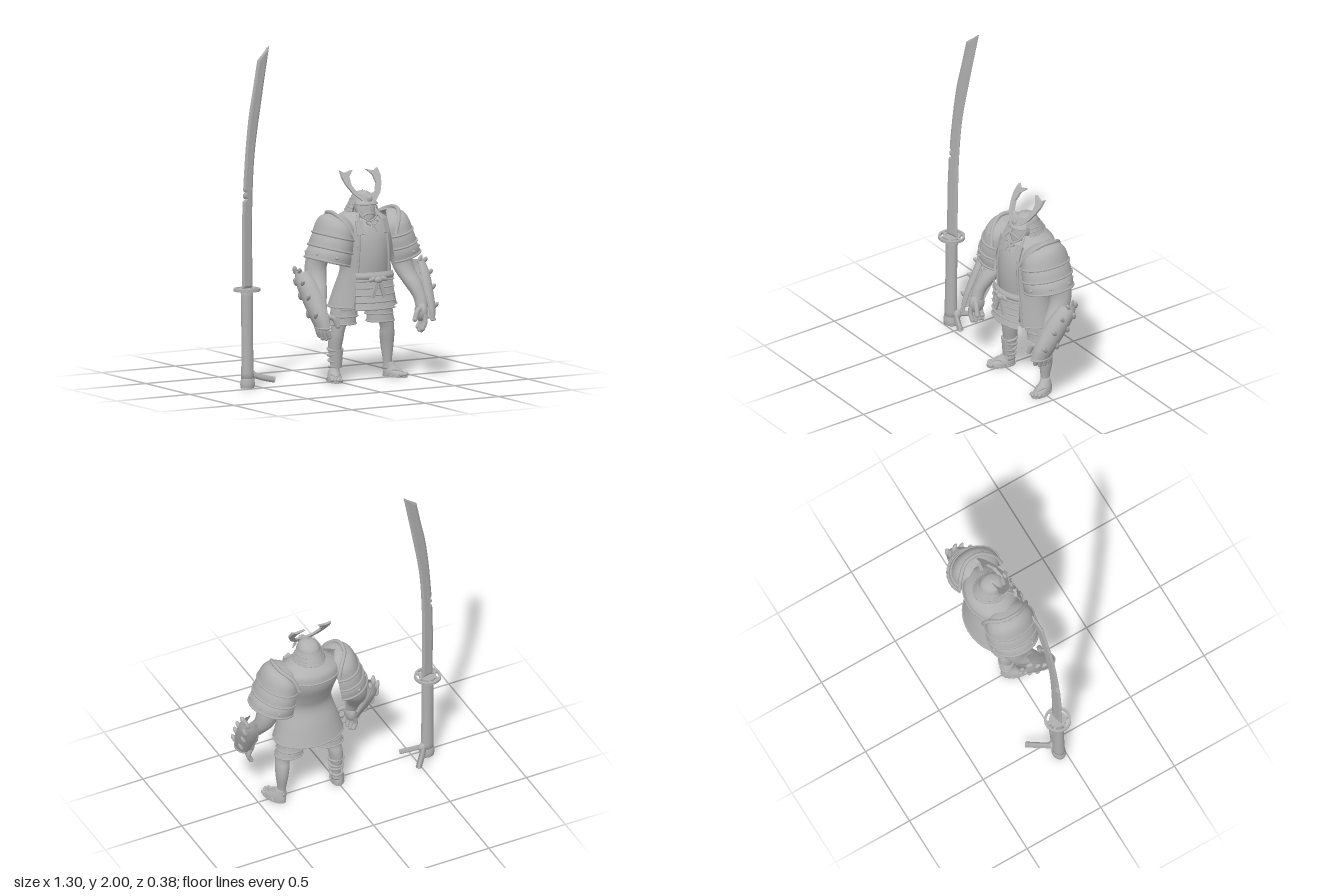
import * as THREE from 'three';
import { mergeVertices } from 'three/addons/utils/BufferGeometryUtils.js';

const grey = new THREE.MeshStandardMaterial({ color: 0xb0b0b0, side: THREE.DoubleSide });
grey.name = 'clay grey';
const TAU = Math.PI * 2, rad = (d) => d * Math.PI / 180;
const V = (p) => new THREE.Vector3(...p);
const V2 = (p) => new THREE.Vector2(...p);

function add(parent, name, geo, pos = [0, 0, 0], rot = [0, 0, 0], scale = [1, 1, 1]) {
  const m = new THREE.Mesh(geo, grey);
  m.name = name;
  m.position.set(...pos); m.rotation.set(...rot); m.scale.set(...scale);
  parent.add(m);
  return m;
}
function group(parent, name) {
  const g = new THREE.Group();
  g.name = name;
  parent.add(g);
  return g;
}
const ball = (parent, name, pos, scale, rot) =>
  add(parent, name, new THREE.SphereGeometry(1, 18, 12), pos, rot, scale);
const tube = (parent, name, pts, r, sides = 8) =>
  add(parent, name, new THREE.TubeGeometry(new THREE.CatmullRomCurve3(pts.map(V)), pts.length * 6, r, sides));

// Point on a horizontal ellipse row [x, y, z, rx, rz]; angle 0 faces +z
const onRow = (r, a) => [r[0] + Math.sin(a) * r[3], r[1], r[2] + Math.cos(a) * r[4]];

// Smooth skin through elliptical rows, listed bottom to top; row[5] narrows the arc
function loft(rows, { a0 = 0, a1 = TAU, n = 32, cap = false } = {}) {
  const m = rows.length * 4;
  const c = new THREE.CatmullRomCurve3(rows.map((r) => V(r.slice(0, 3))), false, 'catmullrom');
  const e = new THREE.CatmullRomCurve3(rows.map((r) => V([r[3], r[4], r[5] || 0])), false, 'catmullrom');
  const pos = [], idx = [];
  for (let i = 0; i <= m; i++) {
    const p = c.getPoint(i / m), q = e.getPoint(i / m);
    for (let j = 0; j <= n; j++)
      pos.push(...onRow([p.x, p.y, p.z, q.x, q.y], a0 + q.z + (a1 - a0 - 2 * q.z) * j / n));
  }
  const w = n + 1;
  for (let i = 0; i < m; i++) for (let j = 0; j < n; j++) {
    const k = i * w + j;
    idx.push(k, k + 1, k + w + 1, k, k + w + 1, k + w);
  }
  if (cap) {
    const b = pos.length / 3, top = m * w;
    pos.push(...rows[0].slice(0, 3), ...rows[rows.length - 1].slice(0, 3));
    for (let j = 0; j < n; j++) idx.push(b, j + 1, j, b + 1, top + j, top + j + 1);
  }
  let g = new THREE.BufferGeometry();
  g.setAttribute('position', new THREE.Float32BufferAttribute(pos, 3));
  g.setIndex(idx);
  g = mergeVertices(g, 1e-5);
  g.computeVertexNormals();
  return g;
}

// Armour plate: a curved shell with a raised lower rim
function lame(parent, name, rows, a0, a1, rim = 0.007) {
  add(parent, name, loft(rows, { a0, a1 }));
  const pts = [];
  for (let i = 0; i <= 12; i++) pts.push(onRow(rows[0], a0 + (a1 - a0) * i / 12));
  tube(parent, name + 'Rim', pts, rim, 6);
}

function buildSword(root) {
  const g = group(root, 'sword');
  g.position.set(-0.585, 0, -0.037);
  g.rotation.set(-0.0135, 0.22, 0);
  // Curved blade with chipped back edge
  const s = new THREE.Shape();
  s.moveTo(-0.036, 0.59); s.lineTo(0.044, 0.59);
  s.splineThru([[0.044, 0.9], [0.05, 1.15], [0.072, 1.4], [0.129, 1.7], [0.192, 2.0]].map(V2));
  s.lineTo(0.097, 1.92);
  s.splineThru([[0.06, 1.75], [0.026, 1.6], [-0.002, 1.4], [-0.021, 1.2]].map(V2));
  for (const p of [[-0.023, 1.165], [-0.012, 1.155], [-0.025, 1.145], [-0.026, 1.125], [-0.01, 1.115], [-0.029, 1.1], [-0.036, 0.9]]) s.lineTo(...p);
  add(g, 'blade', new THREE.ExtrudeGeometry(s, {
    depth: 0.003, bevelThickness: 0.007, bevelSize: 0.014, bevelOffset: -0.014, bevelSegments: 1, curveSegments: 10,
  }), [0, 0, -0.0015]);
  // Slotted round guard
  const disc = new THREE.Shape().absarc(0, 0, 0.079, 0, TAU);
  for (let i = 0; i < 6; i++) {
    const a = i * TAU / 6, h = new THREE.Path();
    h.absarc(0, 0, 0.066, a + 0.1, a + 0.9, false);
    h.absarc(0, 0, 0.05, a + 0.9, a + 0.1, true);
    disc.holes.push(h);
  }
  add(g, 'guard', new THREE.ExtrudeGeometry(disc, { depth: 0.016, bevelEnabled: false, curveSegments: 24 }), [0, 0.59, 0], [Math.PI / 2, 0, 0]);
  add(g, 'handle', loft([[0, 0.05, 0, 0.04, 0.034], [0, 0.3, 0, 0.037, 0.031], [0, 0.59, 0, 0.039, 0.033]], { cap: true }));
  add(g, 'pommel', loft([[0, 0.005, 0, 0.044, 0.037], [0, 0.03, 0, 0.046, 0.039], [0, 0.06, 0, 0.041, 0.035]], { cap: true }));
  // Cord ends tied near the pommel
  const t = group(root, 'swordCords');
  ball(t, 'cordKnot', [-0.545, 0.075, -0.055], [0.025, 0.03, 0.025]);
  tube(t, 'cordBack', [[-0.55, 0.08, -0.06], [-0.51, 0.075, -0.12], [-0.455, 0.05, -0.185]], 0.018, 4);
  tube(t, 'cordFront', [[-0.55, 0.08, -0.05], [-0.49, 0.06, -0.02], [-0.425, 0.045, 0.005]], 0.018, 4);
}

function buildHead(body) {
  const g = group(body, 'head');
  add(g, 'neck', new THREE.CylinderGeometry(0.05, 0.07, 0.12, 20), [0, 0.95, -0.02]);
  add(g, 'mask', loft([[0, 0.93, 0.03, 0.022, 0.03], [0, 0.955, 0.02, 0.046, 0.048], [0, 1.0, 0.005, 0.06, 0.055], [0, 1.05, -0.01, 0.062, 0.058]], { cap: true }));
  add(g, 'nose', new THREE.ConeGeometry(0.014, 0.04, 4), [0, 1.005, 0.062]);
  add(g, 'helmetDome', loft([[0, 1.04, -0.03, 0.07, 0.08], [0, 1.075, -0.03, 0.062, 0.068], [0, 1.1, -0.028, 0.042, 0.044], [0, 1.113, -0.025, 0.004, 0.004]]));
  lame(g, 'helmetPeak', [[0, 1.04, -0.01, 0.08, 0.085], [0, 1.07, -0.02, 0.064, 0.07]], rad(-65), rad(65), 0.004);
  for (let i = 0; i < 3; i++)
    lame(g, 'neckGuard', [[0, 1.035 - i * 0.02, -0.03, 0.08 + i * 0.008, 0.088 + i * 0.014], [0, 1.06 - i * 0.02, -0.03, 0.07 + i * 0.008, 0.076 + i * 0.013]], rad(70), rad(290), 0.003);
  // Forked crest, leaning back
  const horn = new THREE.Shape([[0, 1.045], [0.045, 1.06], [0.09, 1.1], [0.118, 1.15], [0.13, 1.19], [0.127, 1.23], [0.1, 1.215], [0.045, 1.228], [0.08, 1.195], [0.085, 1.15], [0.06, 1.105], [0, 1.085]].map(V2));
  for (const s of [1, -1]) {
    const geo = new THREE.ExtrudeGeometry(horn, { depth: 0.018, bevelEnabled: false });
    const p = geo.attributes.position;
    for (let i = 0; i < p.count; i++) p.setZ(i, p.getZ(i) + 0.05 - (p.getY(i) - 1.05) * 0.72);
    geo.computeVertexNormals();
    add(g, 'horn', geo, [0, 0, 0], [0, 0, 0], [s, 1, 1]);
    // Moustache, cheek cords and the tied bow
    tube(g, 'moustache', [[0, 0.985, 0.064], [s * 0.025, 0.982, 0.06], [s * 0.045, 0.965, 0.05]], 0.006);
    tube(g, 'chinCord', [[s * 0.062, 1.02, 0.015], [s * 0.045, 0.965, 0.055], [0, 0.94, 0.075]], 0.005);
    add(g, 'bowLoop', new THREE.TorusGeometry(0.016, 0.005, 6, 14), [s * 0.02, 0.935, 0.085], [0, 0, s * 0.4], [1.2, 0.7, 1]);
    tube(g, 'bowTail', [[0, 0.935, 0.085], [s * 0.012, 0.91, 0.1], [s * 0.022, 0.885, 0.112]], 0.005);
  }
  ball(g, 'crestBoss', [0, 1.07, 0.056], [0.02, 0.02, 0.012]);
}

function buildTorso(body) {
  const g = group(body, 'torso');
  add(g, 'chest', loft([[0, 0.42, -0.03, 0.13, 0.09], [0, 0.52, -0.005, 0.14, 0.11], [0, 0.62, 0.01, 0.14, 0.115], [0, 0.74, 0.005, 0.145, 0.128], [0, 0.85, -0.015, 0.165, 0.132], [0, 0.93, -0.035, 0.14, 0.115], [0, 0.965, -0.03, 0.07, 0.065]], { cap: true }));
  // Open coat with flared tails
  const coat = [[0, 0.44, -0.028, 0.216, 0.155, rad(38)], [0, 0.55, -0.012, 0.185, 0.138, rad(40)], [0, 0.66, 0.008, 0.158, 0.122, rad(42)],
    [0, 0.75, -0.003, 0.164, 0.135, rad(38)], [0, 0.85, -0.03, 0.18, 0.15, rad(32)], [0, 0.93, -0.043, 0.174, 0.138, rad(30)],
    [0, 0.975, -0.045, 0.12, 0.1, rad(34)], [0, 0.99, -0.035, 0.08, 0.075, rad(40)]];
  add(g, 'coat', loft(coat, { n: 48 }));
  for (const s of [1, -1]) {
    tube(g, 'coatEdge', coat.map((r) => onRow(r, s * r[5])), 0.008);
    add(g, 'chestPlate', new THREE.BoxGeometry(0.045, 0.085, 0.02), [s * 0.085, 0.91, 0.09], [-0.3, s * 0.4, 0]);
  }
  const hem = [];
  for (let i = 0; i <= 20; i++) hem.push(onRow(coat[0], rad(38 + 284 * i / 20)));
  tube(g, 'coatHem', hem, 0.005, 6);
  lame(g, 'backYoke', [[0, 0.9, -0.045, 0.185, 0.146], [0, 0.945, -0.048, 0.168, 0.132], [0, 0.982, -0.045, 0.11, 0.095], [0, 1.0, -0.04, 0.075, 0.07]], rad(95), rad(265), 0.005);
  // Front skirt plates, sash and knot
  for (let i = 0; i < 5; i++) {
    const y = 0.6 - i * 0.042;
    lame(g, 'skirtPlate', [[0, y, 0.01, 0.196 + i * 0.002, 0.14 + i * 0.002], [0, y + 0.045, 0.01, 0.19, 0.132]], rad(-41), rad(41), 0.005);
  }
  add(g, 'sash', loft([[0, 0.605, 0.01, 0.19, 0.138], [0, 0.625, 0.01, 0.193, 0.146], [0, 0.65, 0.01, 0.188, 0.134]], { a0: rad(-42), a1: rad(42) }));
  ball(g, 'sashKnot', [0, 0.605, 0.158], [0.028, 0.02, 0.016]);
  for (const s of [1, -1]) {
    add(g, 'sashTail', new THREE.BoxGeometry(0.022, 0.1, 0.012), [s * 0.024, 0.55, 0.16], [0, 0, s * 0.35]);
    ball(g, 'sashBow', [s * 0.04, 0.61, 0.155], [0.026, 0.014, 0.01], [0, 0, -s * 0.3]);
  }
}

function buildArm(body, s) {
  const g = group(body, s > 0 ? 'leftArm' : 'rightArm');
  g.scale.x = s;
  add(g, 'arm', loft([[0.338, 0.41, 0.085, 0.034, 0.036], [0.34, 0.47, 0.058, 0.04, 0.044], [0.323, 0.55, 0.002, 0.056, 0.06], [0.302, 0.62, -0.05, 0.062, 0.062],
    [0.288, 0.69, -0.07, 0.066, 0.064], [0.262, 0.77, -0.06, 0.075, 0.078], [0.22, 0.88, -0.04, 0.08, 0.09]], { cap: true }));
  // Layered shoulder plates, splayed outward
  const pad = group(g, 'shoulderArmour'), a0 = rad(-38), a1 = rad(214);
  pad.position.set(0.197, 0.855, -0.025);
  pad.rotation.z = 0.25;
  lame(pad, 'shoulderPlate', [[0, -0.15, 0, 0.137, 0.148], [0, -0.105, 0, 0.13, 0.152], [-0.004, -0.06, 0, 0.113, 0.142]], a0, a1);
  lame(pad, 'shoulderPlate', [[0, -0.075, 0, 0.126, 0.156], [0, -0.03, 0, 0.12, 0.152], [0, 0.02, 0, 0.105, 0.14]], a0, a1);
  lame(pad, 'shoulderCap', [[0, 0, 0, 0.116, 0.151], [0.002, 0.06, -0.002, 0.107, 0.137], [0.005, 0.1, -0.005, 0.088, 0.105], [0.005, 0.125, -0.01, 0.05, 0.06], [0.005, 0.132, -0.01, 0.005, 0.005]], a0, a1);
  for (let i = 0; i < 4; i++)
    ball(pad, 'shoulderStud', onRow([0, -0.12, 0, 0.133, 0.152], rad(15 + 50 * i)), [0.009, 0.009, 0.009]);
  tube(g, 'shoulderRidge', [[0.14, 0.86, 0.12], [0.18, 0.94, 0.085], [0.215, 0.995, 0.01], [0.21, 0.99, -0.08], [0.155, 0.94, -0.15], [0.13, 0.87, -0.17]], 0.012);
  // Studded forearm guard
  const rows = [[0.355, 0.345, 0.118, 0.04, 0.062], [0.36, 0.42, 0.082, 0.056, 0.075], [0.366, 0.52, 0.022, 0.068, 0.08], [0.377, 0.6, -0.022, 0.066, 0.07], [0.388, 0.665, -0.055, 0.045, 0.044]];
  lame(g, 'forearmGuard', rows, rad(-15), rad(195), 0.006);
  for (const a of [rad(-15), rad(195)]) tube(g, 'guardEdge', rows.map((r) => onRow(r, a)), 0.006, 6);
  for (const r of rows.slice(1)) for (const a of [55, 125])
    ball(g, 'guardSpike', onRow(r, rad(a)), [0.014, 0.028, 0.012], [0.5, rad(a) - Math.PI / 2, -0.4]);
  // Open hand
  ball(g, 'palm', [0.332, 0.385, 0.088], [0.033, 0.058, 0.052]);
  for (let i = 0; i < 4; i++) {
    const z = 0.045 + i * 0.028, y = 0.29 - (i === 1 || i === 2 ? 0.012 : 0), x = 0.335 - i * 0.006;
    tube(g, 'finger', [[0.336, 0.375, z], [x + 0.015, 0.325, z + 0.004], [x, y, z + 0.002]], 0.014);
    ball(g, 'fingertip', [x, y, z + 0.002], [0.014, 0.014, 0.014]);
  }
  tube(g, 'thumb', [[0.33, 0.41, 0.1], [0.285, 0.395, 0.125], [0.262, 0.35, 0.135]], 0.015);
  ball(g, 'thumbTip', [0.262, 0.35, 0.135], [0.015, 0.015, 0.015]);
}

function buildLeg(body, s) {
  const g = group(body, s > 0 ? 'leftLeg' : 'rightLeg');
  g.scale.x = s;
  add(g, 'leg', loft([[0.178, 0.045, -0.04, 0.028, 0.032], [0.178, 0.09, -0.038, 0.025, 0.028], [0.178, 0.18, -0.042, 0.036, 0.042], [0.173, 0.25, -0.035, 0.042, 0.048],
    [0.165, 0.31, -0.025, 0.042, 0.045], [0.135, 0.41, -0.035, 0.066, 0.065], [0.095, 0.52, -0.03, 0.075, 0.08]], { cap: true }));
  for (let i = 0; i < 4; i++) {
    const y = 0.335 + i * 0.045, x = 0.13 - i * 0.01;
    lame(g, 'thighPlate', [[x, y, -0.038, 0.086 - i * 0.002, 0.073 + i * 0.003], [x - 0.005, y + 0.05, -0.036, 0.078 - i * 0.002, 0.066 + i * 0.003]], 0, TAU, 0.005);
  }
  // Turned-out foot on a sandal
  const f = group(g, 'foot');
  f.position.set(0.205, 0, 0.005);
  f.rotation.y = 0.35;
  add(f, 'sandalSole', loft([[0, 0.002, 0, 0.045, 0.086], [0, 0.014, 0, 0.045, 0.086]], { cap: true }));
  add(f, 'footBody', loft([[0, 0.012, -0.005, 0.042, 0.08], [0, 0.03, -0.012, 0.04, 0.072], [0, 0.055, -0.032, 0.032, 0.045], [-0.006, 0.085, -0.045, 0.026, 0.03]], { cap: true }));
  for (let i = 0; i < 4; i++)
    ball(f, 'toe', [-0.026 + i * 0.018, 0.02, 0.073 - Math.abs(i - 1) * 0.007], [0.011, 0.012, 0.017]);
  for (const e of [1, -1])
    tube(f, 'sandalStrap', [[0, 0.034, 0.055], [e * 0.025, 0.046, 0.01], [e * 0.043, 0.012, -0.03]], 0.006);
  // Wrapped shin guard on the right leg only
  if (s < 0) {
    for (let i = 0; i < 4; i++)
      add(g, 'shinWrap', new THREE.TorusGeometry(0.034 + i * 0.003, 0.008, 8, 24), [0.178, 0.085 + i * 0.034, -0.037], [Math.PI / 2 + (i % 2 ? 0.15 : -0.15), 0, 0]);
    add(g, 'shinGuard', loft([[0.178, 0.08, -0.036, 0.037, 0.04], [0.178, 0.19, -0.036, 0.046, 0.05]], { a0: rad(-80), a1: rad(80) }));
  }
}

export function createModel() {
  const root = new THREE.Group();
  root.name = 'armouredWarrior';
  const body = group(root, 'warrior');
  body.position.x = 0.188;
  buildHead(body);
  buildTorso(body);
  for (const s of [1, -1]) {
    buildArm(body, s);
    buildLeg(body, s);
  }
  buildSword(root);
  return root;
}
